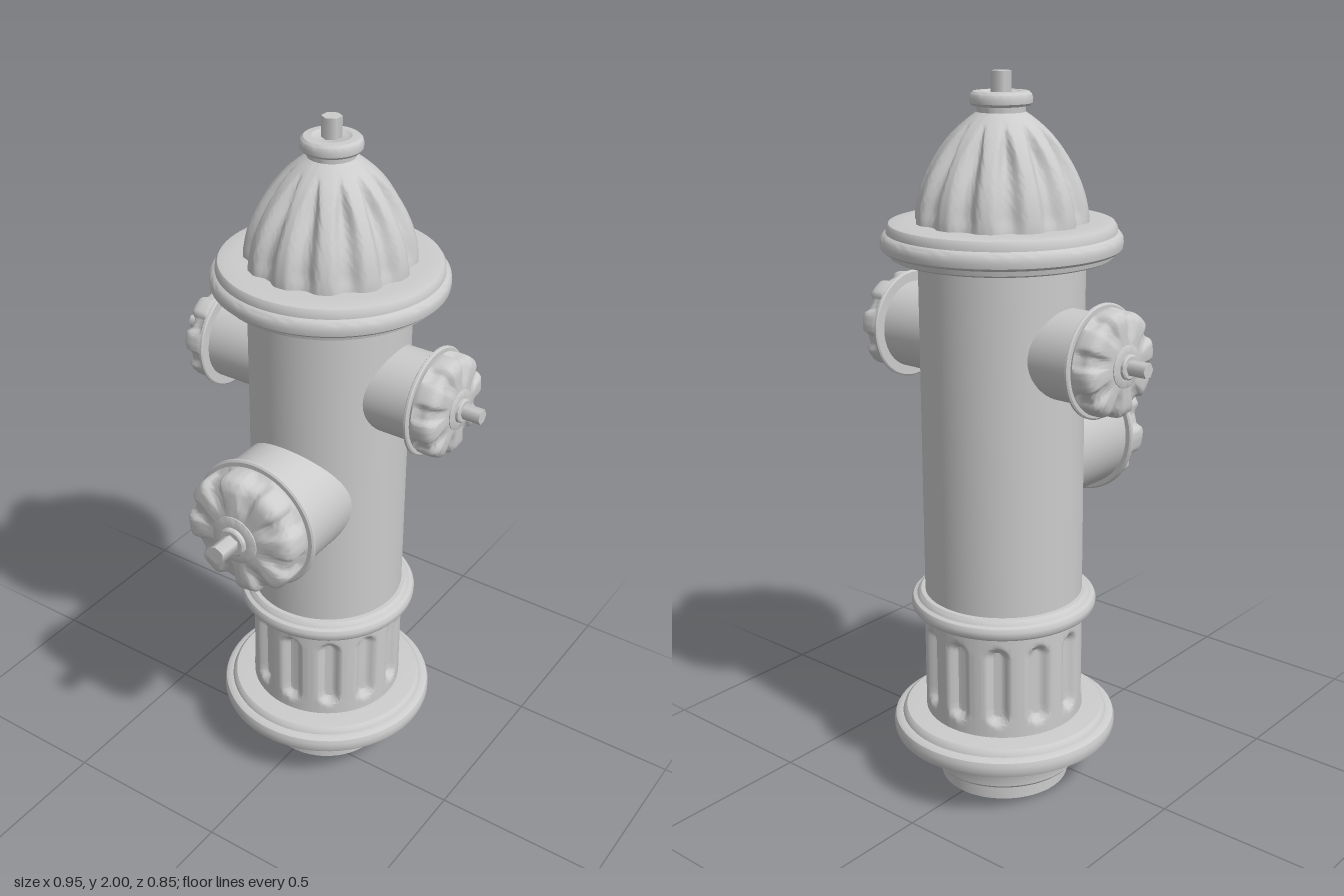
import * as THREE from 'three';
import { mergeVertices, toCreasedNormals } from 'three/addons/utils/BufferGeometryUtils.js';

const material = new THREE.MeshStandardMaterial({ color: 0xcccccc });
const AXIS_Z = -0.104; // the barrel stands behind the model's centre
const { smoothstep } = THREE.MathUtils;

function add(parent, name, geometry) {
  const mesh = new THREE.Mesh(geometry, material);
  mesh.name = name;
  parent.add(mesh);
  return mesh;
}

// Turned part from [radius, height] pairs, listed bottom to top.
// carve(angle, radius, y) may return a new [radius, y] to sink flutes.
function turned(profile, segments = 64, carve = null, crease = 0.6) {
  let geo = new THREE.LatheGeometry(profile.map(([r, y]) => new THREE.Vector2(r, y)), segments);
  if (carve) {
    const p = geo.attributes.position;
    for (let i = 0; i < p.count; i++) {
      const x = p.getX(i), z = p.getZ(i);
      const a = Math.atan2(x, z);
      const [r, y] = carve(a, Math.hypot(x, z), p.getY(i));
      p.setXYZ(i, Math.sin(a) * r, y, Math.cos(a) * r);
    }
  }
  geo.deleteAttribute('uv');
  geo.deleteAttribute('normal');
  geo = mergeVertices(geo, 1e-5);
  return toCreasedNormals(geo, crease);
}

// Signed angle from the nearest of n evenly spaced flutes
function fluteAngle(a, n, offset) {
  const step = (2 * Math.PI) / n;
  const t = (a - offset) / step;
  return (t - Math.round(t)) * step;
}

function hexBolt(radius, from, to) {
  const geo = new THREE.CylinderGeometry(radius, radius, to - from, 6);
  geo.translate(0, (from + to) / 2, 0);
  return geo;
}

// Outlet along +y: a neck from inside the barrel, then a notched cap
function outlet(name, neckRadius, capStart, scale) {
  const group = new THREE.Group();
  group.name = name;
  add(group, 'neck', turned([[neckRadius, 0.1], [neckRadius, capStart + 0.002]], 48));

  const cap = new THREE.Group();
  cap.name = 'cap';
  cap.position.y = capStart;
  cap.scale.setScalar(scale);
  group.add(cap);
  add(cap, 'collar', turned([[0, 0], [0.147, 0], [0.151, 0.003], [0.151, 0.009], [0.147, 0.012], [0.12, 0.012]], 64));
  const capProfile = [
    [0.136, 0.01], [0.14, 0.018], [0.141, 0.03], [0.141, 0.045], [0.14, 0.058], [0.137, 0.067],
    [0.131, 0.074], [0.122, 0.079], [0.11, 0.081], [0.095, 0.082], [0.08, 0.083], [0.065, 0.083], [0.05, 0.084], [0, 0.084],
  ];
  add(cap, 'notchedCap', turned(capProfile, 128, (a, r, y) => {
    const w = 1 - smoothstep(Math.abs(fluteAngle(a, 8, -0.25)), 0.09, 0.23);
    const side = smoothstep(y, 0.018, 0.03) * smoothstep(r, 0.1, 0.135);
    const face = smoothstep(r, 0.06, 0.1) * smoothstep(y, 0.05, 0.08);
    return [r - 0.013 * w * side, y - 0.012 * w * face];
  }, 0.8));
  add(cap, 'washer', turned([[0.056, 0.078], [0.056, 0.086], [0.05, 0.089], [0.033, 0.089], [0.033, 0.096], [0.029, 0.099], [0, 0.099]], 40));
  add(cap, 'bolt', hexBolt(0.021, 0.09, 0.151));
  return group;
}

export function createModel() {
  const model = new THREE.Group();
  model.name = 'fireHydrant';
  const body = new THREE.Group();
  body.name = 'body';
  body.position.z = AXIS_Z;
  model.add(body);

  // Foot and lower flange
  add(body, 'foot', turned([
    [0, 0], [0.184, 0], [0.184, 0.046], [0.207, 0.05], [0.214, 0.058], [0.216, 0.095], [0.222, 0.106], [0.24, 0.116], [0.262, 0.122],
  ]));
  add(body, 'lowerFlange', turned([
    [0.2, 0.122], [0.266, 0.122], [0.272, 0.128], [0.276, 0.141], [0.305, 0.143], [0.315, 0.149], [0.319, 0.16],
    [0.319, 0.178], [0.315, 0.19], [0.305, 0.196], [0.294, 0.197], [0.29, 0.208], [0.282, 0.215], [0.26, 0.217], [0.22, 0.219],
  ], 80));

  // Lower barrel with twelve round-ended flutes
  const flutedProfile = [];
  for (let i = 0; i <= 36; i++) flutedProfile.push([0.225, 0.21 + (0.32 * i) / 36]);
  add(body, 'flutedBarrel', turned(flutedProfile, 180, (a, r, y) => {
    const across = fluteAngle(a, 12, 0.1) * r;
    const along = Math.max(0, 0.285 - y, y - 0.455);
    const w = 1 - smoothstep(Math.hypot(across, along), 0.012, 0.038);
    return [r - 0.022 * w, y];
  }));

  // Middle ring and main barrel
  add(body, 'middleRing', turned([
    [0.21, 0.519], [0.236, 0.521], [0.243, 0.526], [0.254, 0.528], [0.26, 0.536], [0.261, 0.552], [0.256, 0.562],
    [0.245, 0.566], [0.24, 0.575], [0.234, 0.58], [0.215, 0.581],
  ], 72));
  add(body, 'barrel', turned([[0.222, 0.56], [0.222, 1.56]], 64));

  // Upper flange
  add(body, 'upperFlange', turned([
    [0.21, 1.525], [0.285, 1.525], [0.295, 1.53], [0.298, 1.543], [0.31, 1.545], [0.318, 1.552], [0.32, 1.565],
    [0.318, 1.58], [0.312, 1.588], [0.304, 1.592], [0.303, 1.607], [0.297, 1.616], [0.285, 1.619], [0.25, 1.62], [0.2, 1.62],
  ], 80));

  // Domed bonnet with twelve tapering flutes
  const domeCurve = new THREE.SplineCurve([
    [0.23, 1.61], [0.228, 1.645], [0.217, 1.695], [0.197, 1.745], [0.168, 1.795], [0.131, 1.842], [0.092, 1.877], [0.06, 1.9],
  ].map(([r, y]) => new THREE.Vector2(r, y)));
  const domeProfile = domeCurve.getPoints(30).map((p) => [p.x, p.y]);
  add(body, 'bonnet', turned(domeProfile, 192, (a, r, y) => {
    const half = 0.19 * smoothstep(r, 0.04, 0.2);
    const w = 1 - smoothstep(Math.abs(fluteAngle(a, 12, Math.PI / 12)), half * 0.15, half + 0.01);
    const depth = 0.024 * smoothstep(r, 0.085, 0.17) * (0.6 + 0.4 * smoothstep(y, 1.61, 1.66));
    return [r - depth * w, y - depth * 0.4 * w * smoothstep(y, 1.65, 1.8)];
  }, 0.9));

  // Crown and operating nut
  add(body, 'crown', turned([
    [0.063, 1.89], [0.064, 1.912], [0.076, 1.914], [0.081, 1.92], [0.082, 1.932], [0.079, 1.943], [0.072, 1.949],
    [0.052, 1.95], [0.044, 1.945], [0, 1.945],
  ], 48));
  add(body, 'operatingNut', hexBolt(0.027, 1.93, 2.0));

  // One large outlet in front, two small ones at the sides
  const front = outlet('frontOutlet', 0.172, 0.235 - AXIS_Z, 1.26);
  front.position.y = 0.97;
  front.rotation.x = Math.PI / 2;
  body.add(front);
  for (const side of [1, -1]) {
    const small = outlet(side > 0 ? 'leftOutlet' : 'rightOutlet', 0.121, 0.325, 1);
    small.position.y = 1.293;
    small.rotation.z = (-side * Math.PI) / 2;
    body.add(small);
  }
  return model;
}
